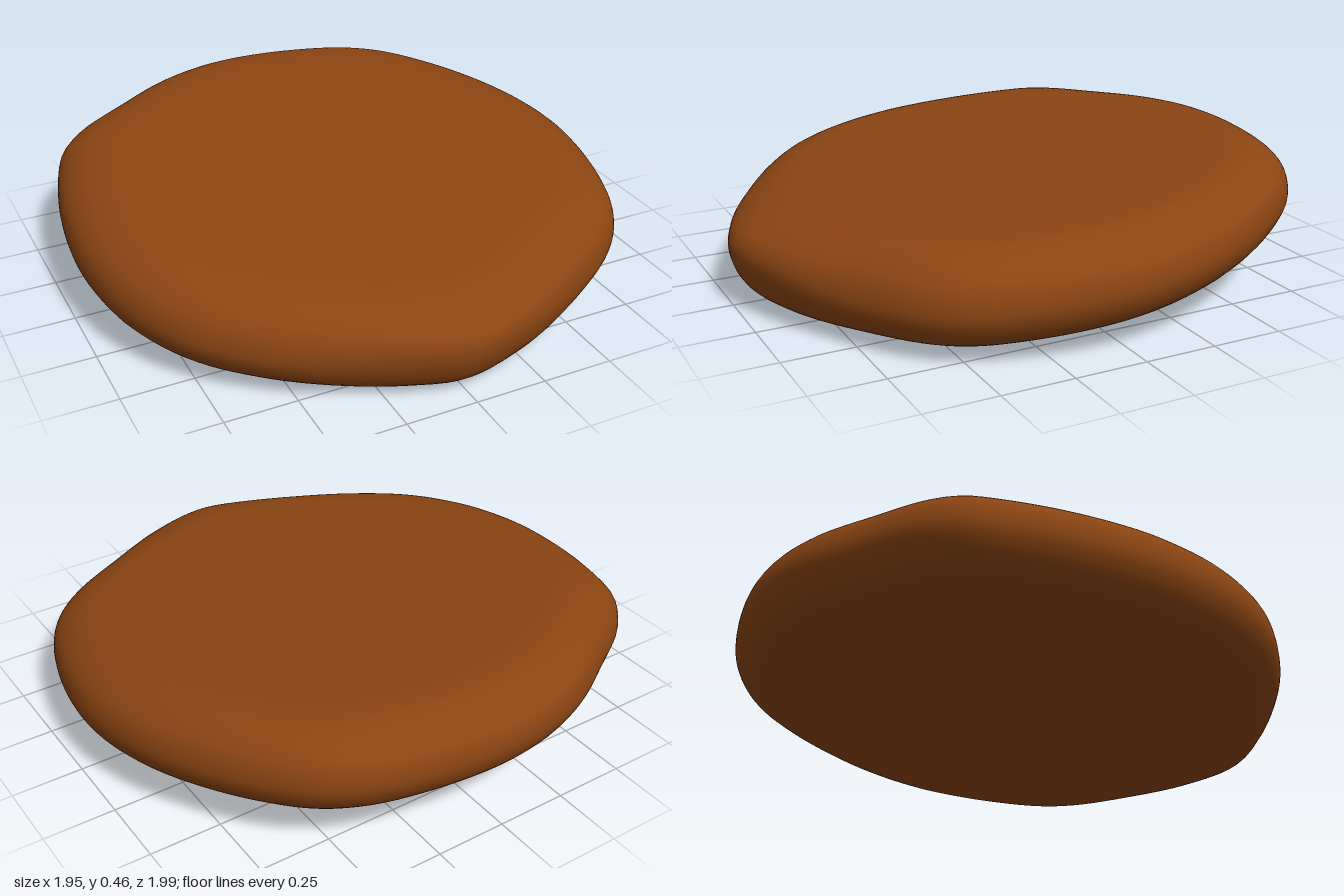
import * as THREE from 'three';

// Plan outline (x, z), running clockwise as seen from above
const OUTLINE = [
  [-0.02, -1], [0.22, -0.98], [0.45, -0.92], [0.6, -0.83], [0.73, -0.68], [0.85, -0.48],
  [0.93, -0.28], [0.97, -0.08], [0.97, 0.08], [0.93, 0.3], [0.85, 0.51], [0.74, 0.64],
  [0.5, 0.8], [0.25, 0.93], [0, 0.995], [-0.18, 0.95], [-0.4, 0.85], [-0.62, 0.71],
  [-0.8, 0.54], [-0.92, 0.32], [-0.97, 0.1], [-0.975, -0.06], [-0.95, -0.28], [-0.9, -0.48],
  [-0.86, -0.58], [-0.78, -0.67], [-0.6, -0.79], [-0.4, -0.91], [-0.22, -0.975],
];

// Edge section: fraction of the outline radius, height from the mid plane
const PROFILE = [
  [0.76, -0.165], [0.83, -0.16], [0.9, -0.14], [0.955, -0.1], [0.988, -0.05], [1, 0],
  [0.988, 0.06], [0.955, 0.105], [0.9, 0.14], [0.83, 0.16], [0.76, 0.165],
];

const SEGMENTS = 144;
const SLOPE = -0.082; // the slab rises towards the back
const MID_HEIGHT = 0.226;

function slabGeometry() {
  const outline = new THREE.CatmullRomCurve3(
    OUTLINE.map(([x, z]) => new THREE.Vector3(x, 0, z)), true,
  ).getSpacedPoints(SEGMENTS).slice(0, SEGMENTS);
  const edge = new THREE.SplineCurve(PROFILE.map(([s, h]) => new THREE.Vector2(s, h))).getPoints(30);
  const flat = [0, 0.25, 0.5, 0.68];
  const rings = [
    ...flat.map((s) => [s, -0.165]),
    ...edge.map((p) => [p.x, p.y]),
    ...flat.slice().reverse().map((s) => [s, 0.165]),
  ];

  const positions = [];
  const index = [];
  rings.forEach(([s, h], k) => {
    outline.forEach((p, i) => {
      const z = p.z * s;
      // The widest line of the rim climbs towards the front tip
      const lift = 0.045 * THREE.MathUtils.smoothstep(z, 0.75, 1) * (1 - Math.abs(h) / 0.165);
      positions.push(p.x * s, MID_HEIGHT + h + SLOPE * z + lift, z);
      if (k === rings.length - 1) return;
      const j = (i + 1) % SEGMENTS;
      const a = k * SEGMENTS + i, b = k * SEGMENTS + j;
      const c = a + SEGMENTS, d = b + SEGMENTS;
      if (k < rings.length - 2) index.push(a, c, d);
      else index.push(a, c, b);
      if (k > 0 && k < rings.length - 2) index.push(a, d, b);
    });
  });

  const geometry = new THREE.BufferGeometry();
  geometry.setAttribute('position', new THREE.Float32BufferAttribute(positions, 3));
  geometry.setIndex(index);
  geometry.computeVertexNormals();
  return geometry;
}

export function createModel() {
  const group = new THREE.Group();
  group.name = 'roundedSlab';
  const slab = new THREE.Mesh(slabGeometry(), new THREE.MeshStandardMaterial({ color: 0x8b4513 }));
  slab.name = 'slab';
  // Rest the lowest point on the ground
  slab.geometry.computeBoundingBox();
  slab.position.y = -slab.geometry.boundingBox.min.y;
  group.add(slab);
  return group;
}
